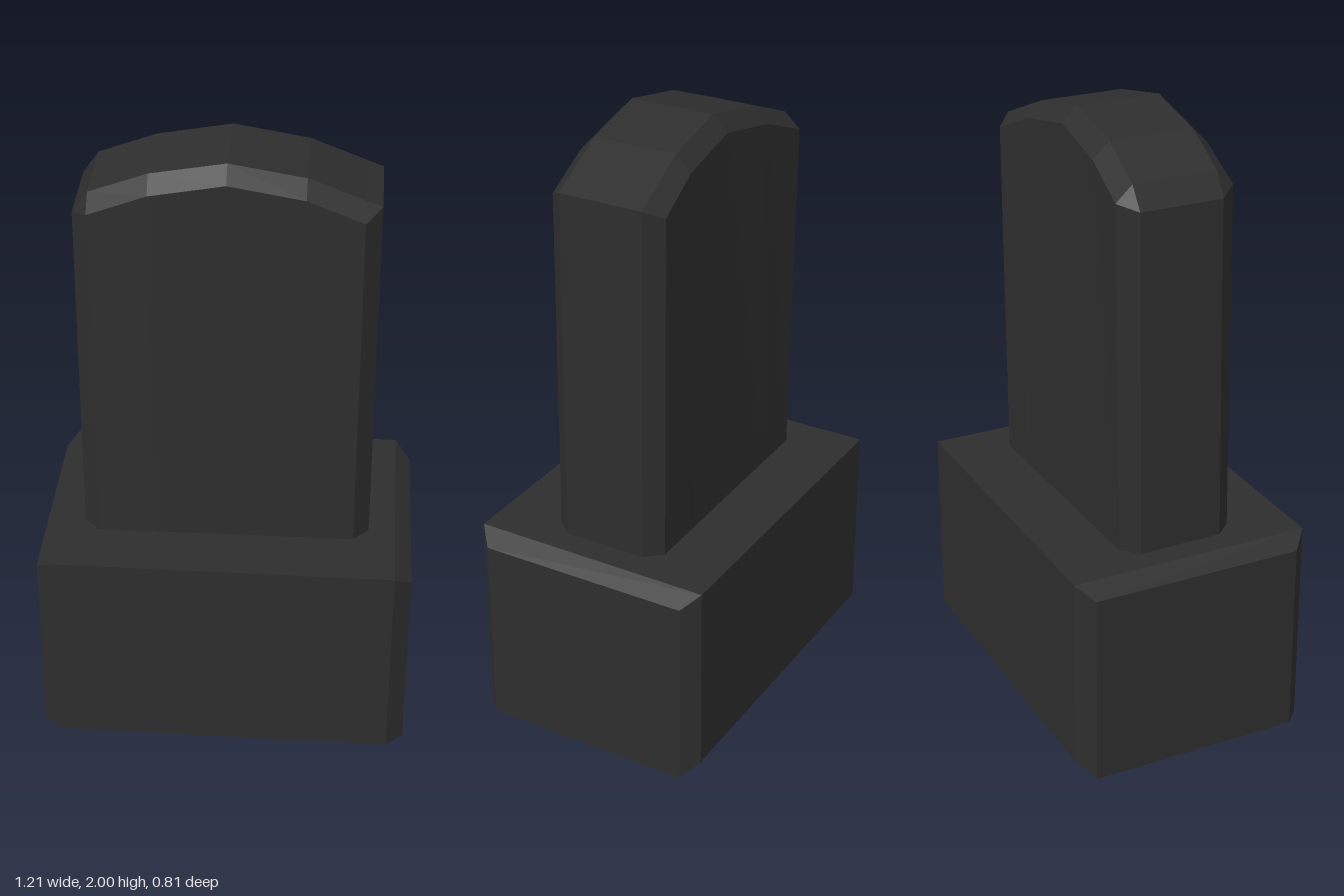
import * as THREE from 'three';

// Skins a stack of closed rings (same point count) with flat faces and caps both ends.
function loft(rings) {
  const pos = [];
  const tri = (a, b, c) => {
    const n = b.clone().sub(a).cross(c.clone().sub(a));
    if (n.length() < 1e-7) return; // collapsed corner
    for (const p of [a, b, c]) pos.push(p.x, p.y, p.z);
  };
  const n = rings[0].length;
  for (let i = 0; i < rings.length - 1; i++) {
    for (let j = 0; j < n; j++) {
      const k = (j + 1) % n;
      const a = rings[i][j], b = rings[i][k], c = rings[i + 1][k], d = rings[i + 1][j];
      tri(a, b, c);
      tri(a, c, d);
    }
  }
  const first = rings[0], last = rings[rings.length - 1];
  for (let j = 1; j < n - 1; j++) {
    tri(first[0], first[j + 1], first[j]);
    tri(last[0], last[j], last[j + 1]);
  }
  const geo = new THREE.BufferGeometry();
  geo.setAttribute('position', new THREE.Float32BufferAttribute(pos, 3));
  geo.computeVertexNormals();
  return geo;
}

// Plinth: octagonal plan, bevelled along the two side top edges and the back bottom edge.
function plinthGeometry() {
  const plan = [
    [-0.555, 0.395], [0.545, 0.405], [0.6, 0.355], [0.6, -0.35],
    [0.55, -0.4], [-0.55, -0.41], [-0.6, -0.36], [-0.605, 0.345],
  ];
  const ring = (y, from = []) =>
    plan.map((p, j) => {
      const [x, z] = plan[from[j] ?? j];
      return new THREE.Vector3(x, y, z);
    });
  return loft([
    ring(0, [0, 1, 2, 3, 3, 6, 6, 7]), // back corners pulled in
    ring(0.05),
    ring(0.645),
    ring(0.69, [0, 1, 1, 4, 4, 5, 5, 0]), // side corners pulled in
  ]);
}

// Headstone: cross-sections from side to side, slightly bowed, with an arched top.
function slabGeometry() {
  // x, shoulder y, ridge y, front: ridge z, shoulder z, foot z, back: foot z, shoulder z, ridge z
  const columns = [
    [-0.47, 1.81, 1.81, 0.125, 0.125, 0.14, -0.14, -0.15, -0.15],
    [-0.42, 1.83, 1.88, 0.13, 0.185, 0.195, -0.19, -0.205, -0.15],
    [-0.235, 1.905, 1.955, 0.15, 0.2, 0.195, -0.19, -0.185, -0.13],
    [0, 1.95, 2, 0.16, 0.208, 0.195, -0.19, -0.172, -0.12],
    [0.235, 1.905, 1.955, 0.15, 0.2, 0.195, -0.19, -0.18, -0.13],
    [0.41, 1.83, 1.881, 0.137, 0.188, 0.195, -0.19, -0.197, -0.142],
    [0.46, 1.86, 1.86, 0.132, 0.132, 0.14, -0.135, -0.145, -0.145],
  ];
  const foot = 0.69;
  return loft(columns.map(([x, sy, ry, ...z]) =>
    [ry, sy, foot, foot, sy, ry].map((y, j) => new THREE.Vector3(x, y, z[j]))));
}

export function createModel() {
  const stone = new THREE.MeshStandardMaterial({ color: 0x2e2e2e });
  stone.name = 'darkStone';
  stone.flatShading = true;

  const group = new THREE.Group();
  group.name = 'gravestone';
  const add = (name, geometry) => {
    const mesh = new THREE.Mesh(geometry, stone);
    mesh.name = name;
    group.add(mesh);
  };
  add('plinth', plinthGeometry());
  add('headstone', slabGeometry());
  return group;
}
